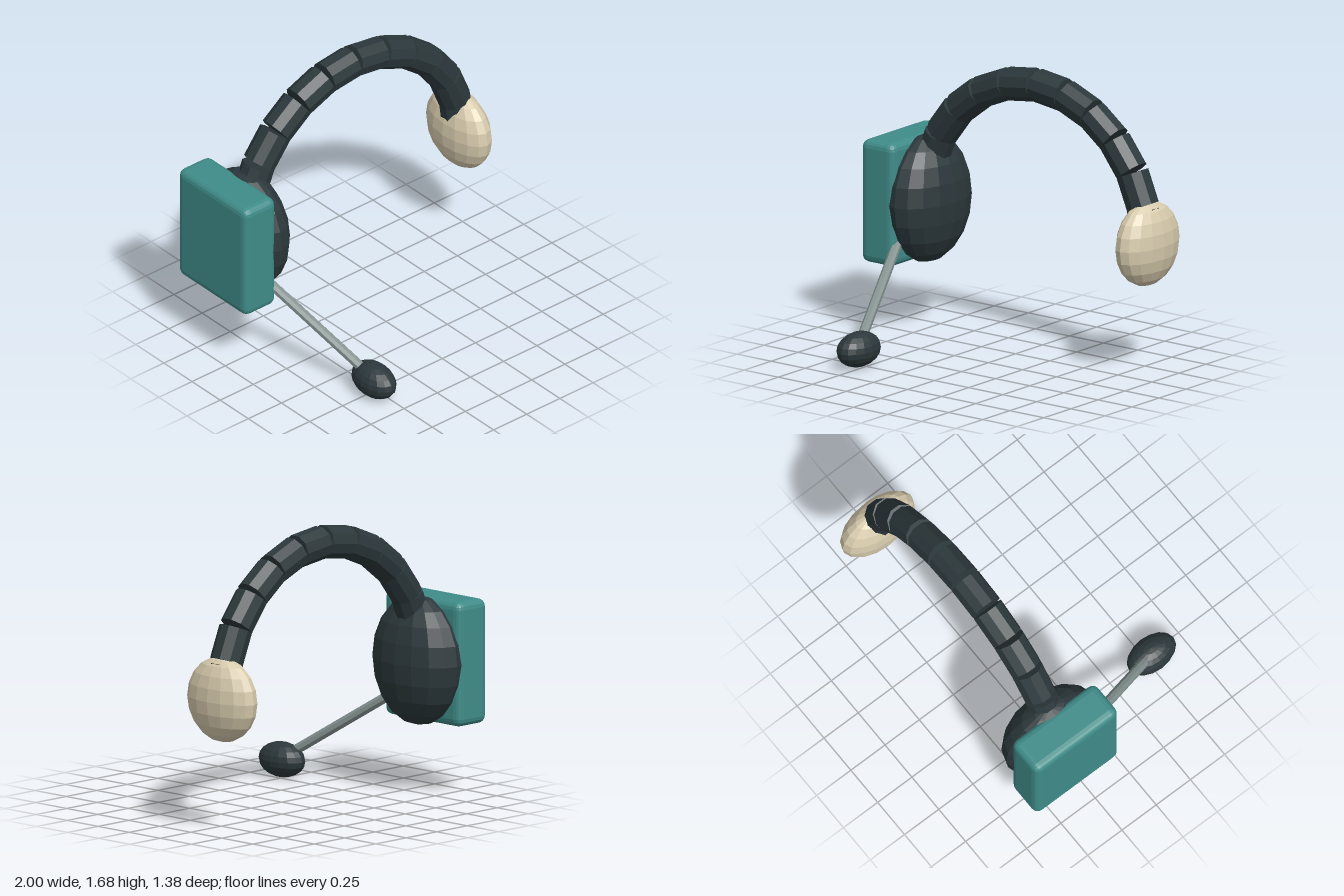
import * as THREE from 'three';
import { RoundedBoxGeometry } from 'three/addons/geometries/RoundedBoxGeometry.js';

const mat = (color) => new THREE.MeshStandardMaterial({ color, flatShading: true });

export function createModel() {
  const group = new THREE.Group();
  const teal = mat(0x3f8c89), dark = mat(0x2c383c), cream = mat(0xd8ccae), metal = mat(0x849290);
  const Z = -0.375; // plane of the headband

  const add = (name, geometry, material, position, parent = group) => {
    const mesh = new THREE.Mesh(geometry, material);
    mesh.name = name;
    mesh.position.set(...position);
    parent.add(mesh);
    return mesh;
  };

  // low-poly ellipsoid with its poles on y
  const ellipsoid = (rx, ry, rz) => new THREE.SphereGeometry(1, 16, 10).scale(rx, ry, rz);

  // earpiece: outer housing and cushion
  add('earHousing', new RoundedBoxGeometry(0.24, 0.73, 0.61, 2, 0.045), teal, [-0.88, 0.785, Z]);
  add('earCushion', ellipsoid(0.195, 0.38, 0.318), dark, [-0.735, 0.785, Z]);

  // pad resting on the other side of the head
  add('templePad', ellipsoid(0.127, 0.25, 0.255), cream, [0.868, 0.78, Z]);

  // headband: twelve ten-sided links along a half circle
  const band = new THREE.Group();
  band.name = 'headband';
  group.add(band);
  const count = 12, radius = 0.8;
  const link = new THREE.CylinderGeometry(0.098, 0.098, 0.2, 10);
  for (let i = 0; i < count; i++) {
    const a = ((i + 0.5) / count) * Math.PI;
    const p = [0.057 + radius * Math.cos(a), 0.78 + radius * Math.sin(a), Z];
    add('bandLink', link, dark, p, band).rotation.z = a;
  }

  // microphone on a straight boom
  const start = new THREE.Vector3(-0.8, 0.595, -0.2), end = new THREE.Vector3(-0.57, 0.17, 0.44);
  const along = end.clone().sub(start);
  const boom = add('microphoneBoom', new THREE.CylinderGeometry(0.03, 0.03, along.length(), 8), metal,
    start.clone().lerp(end, 0.5).toArray());
  boom.quaternion.setFromUnitVectors(new THREE.Vector3(0, 1, 0), along.normalize());
  add('microphone', ellipsoid(0.102, 0.103, 0.162), dark, [-0.536, 0.105, 0.525]);

  return group;
}
